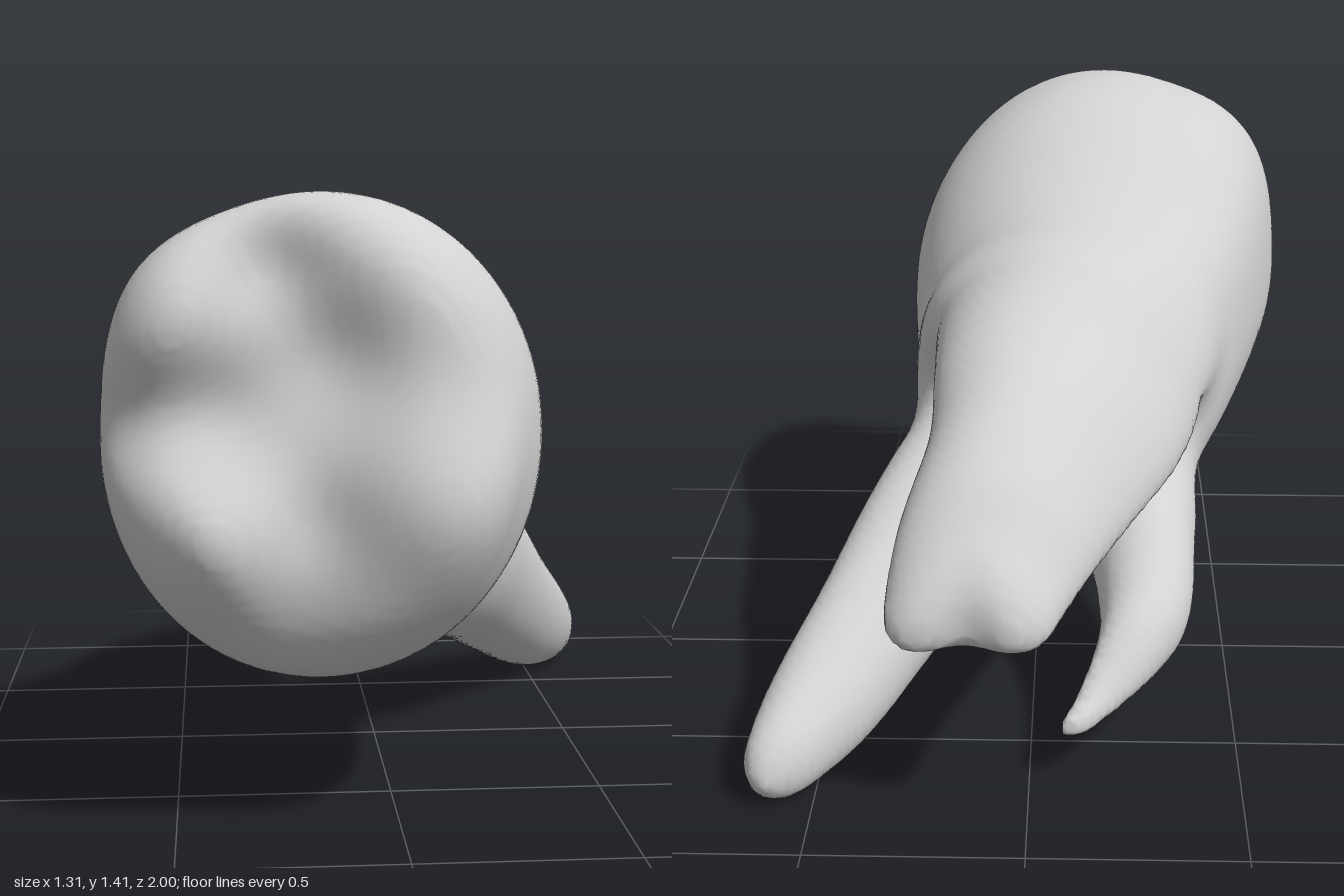
import * as THREE from 'three';

// Section rows along z: [z, centreX, centreY, radiusX, radiusY, tilt, bend]
const BODY = [
  [-0.3, -0.06, 0.72, 0.30, 0.38, 0, 0],
  [0.0, -0.07, 0.715, 0.375, 0.425, 0, 0],
  [0.2, -0.105, 0.767, 0.425, 0.437, 0, 0],
  [0.5, -0.14, 0.85, 0.483, 0.515, 0, 0],
  [0.7, -0.17, 0.873, 0.485, 0.537, 0, 0],
  [0.85, -0.18, 0.88, 0.435, 0.5, 0, 0],
  [1.0, -0.14, 0.87, 0.36, 0.43, 0, 0],
];
const UPPER_ROOT = [
  [-1.0, 0.135, 0.555, 0.17, 0.085, 0.0, 0.03],
  [-0.9, 0.11, 0.625, 0.195, 0.115, 0.01, 0.04],
  [-0.8, 0.07, 0.71, 0.215, 0.135, 0.03, 0.05],
  [-0.6, -0.01, 0.82, 0.24, 0.145, 0.07, 0.07],
  [-0.4, -0.06, 0.885, 0.29, 0.16, 0.09, 0.07],
  [-0.15, -0.085, 0.925, 0.325, 0.18, 0.08, 0.08],
  [0.05, -0.09, 0.92, 0.33, 0.19, 0.03, 0.04],
  [0.35, -0.1, 0.88, 0.1, 0.1, 0, 0],
];
const RIGHT_ROOT = [
  [-0.83, 0.605, 0.075, 0.05, 0.06, 0, 0],
  [-0.75, 0.57, 0.1, 0.09, 0.1, 0, 0],
  [-0.6, 0.492, 0.16, 0.133, 0.14, 0, 0],
  [-0.4, 0.378, 0.28, 0.153, 0.175, 0, 0],
  [-0.2, 0.268, 0.405, 0.173, 0.21, 0, 0],
  [0.0, 0.155, 0.5, 0.195, 0.22, 0, 0],
  [0.3, 0.05, 0.65, 0.1, 0.1, 0, 0],
];
const LEFT_ROOT = [
  [-0.7, -0.085, 0.142, 0.027, 0.027, 0, 0],
  [-0.62, -0.15, 0.17, 0.048, 0.042, 0, 0],
  [-0.5, -0.238, 0.25, 0.083, 0.09, 0, 0],
  [-0.38, -0.275, 0.295, 0.11, 0.125, 0, 0],
  [-0.2, -0.272, 0.37, 0.133, 0.16, 0, 0],
  [0.0, -0.235, 0.47, 0.17, 0.17, 0, 0],
  [0.3, -0.18, 0.65, 0.1, 0.1, 0, 0],
];
// Chewing-surface cusps and grooves: [x, y, height, spread]
const CUSPS = [
  [-0.52, 1.15, 0.07, 0.17], [-0.0, 1.17, 0.065, 0.2],
  [-0.43, 0.68, 0.13, 0.2], [0.07, 0.75, 0.165, 0.25], [-0.1, 0.5, 0.035, 0.16],
  [-0.16, 1.07, -0.055, 0.15], [-0.3, 1.27, -0.06, 0.13],
  [-0.4, 0.93, -0.05, 0.14], [-0.64, 0.92, -0.06, 0.13], [-0.19, 0.72, -0.025, 0.12],
];

const smin = (a, b, k) => {
  const h = Math.max(k - Math.abs(a - b), 0) / k;
  return Math.min(a, b) - h * h * k / 4;
};
const smax = (a, b, k) => -smin(-a, -b, k);

// Smooth interpolation between section rows
function sectionAt(rows, z) {
  const last = rows.length - 1;
  if (z <= rows[0][0]) return rows[0];
  if (z >= rows[last][0]) return rows[last];
  let i = 0;
  while (rows[i + 1][0] < z) i++;
  const a = rows[i], b = rows[i + 1], p = rows[Math.max(i - 1, 0)], q = rows[Math.min(i + 2, last)];
  const d = b[0] - a[0], t = (z - a[0]) / d;
  return a.map((v, n) => {
    const m0 = (b[n] - p[n]) / (b[0] - p[0]) * d, m1 = (q[n] - v) / (q[0] - a[0]) * d;
    const t2 = t * t, t3 = t2 * t;
    return (2 * t3 - 3 * t2 + 1) * v + (t3 - 2 * t2 + t) * m0 + (3 * t2 - 2 * t3) * b[n] + (t3 - t2) * m1;
  });
}

// Signed value of one section: negative inside
function sectionField(s, x, y, squareCorner) {
  const u = (x - s[1]) / s[3];
  const w = Math.max(-1.2, Math.min(1.2, u));
  const v = (y - s[2] - s[5] * w + s[6] * w * w) / s[4];
  const n = 2.05 + squareCorner * Math.max(0, -u) ** 3 * Math.max(0, v) / ((u * u + v * v) ** 2 + 1e-6);
  const r = Math.pow(Math.pow(Math.abs(u), n) + Math.pow(Math.abs(v), n), 1 / n);
  return (r - 1) * Math.min(s[3], s[4]);
}

// Whole tooth for one z slice: crown and three roots blended together
function sliceField(z) {
  const [body, upper, right, left] = [BODY, UPPER_ROOT, RIGHT_ROOT, LEFT_ROOT].map(r => sectionAt(r, z));
  return (x, y) => {
    let chew = 0.835;
    for (const [cx, cy, h, s] of CUSPS) chew += h * Math.exp(-((x - cx) ** 2 + (y - cy) ** 2) / (s * s));
    let f = smax(sectionField(body, x, y, 1.7), z - chew, 0.1);
    f = smax(f, -0.04 - z, 0.15);
    const notch = 0.04 * Math.exp(-(((x - 0.13) / 0.08) ** 2));
    const root = (s, end, k) => smax(smax(sectionField(s, x, y, 0), end - z, k), z - 0.3, 0.05);
    f = smin(f, root(upper, -1.015 + notch, 0.08), 0.09);
    f = smin(f, root(right, -0.84, 0.08), 0.08);
    return smin(f, root(left, -0.69, 0.02), 0.08);
  };
}

// Skin the blended form with a regular net of quads
function skin(min, max, step) {
  const n = min.map((m, i) => Math.ceil((max[i] - m) / step) + 1);
  const stride = [1, n[0], n[0] * n[1]];
  const val = new Float32Array(n[0] * n[1] * n[2]);
  for (let k = 0, p = 0; k < n[2]; k++) {
    const f = sliceField(min[2] + k * step);
    for (let j = 0; j < n[1]; j++)
      for (let i = 0; i < n[0]; i++) val[p++] = f(min[0] + i * step, min[1] + j * step);
  }
  const ids = new Int32Array(val.length).fill(-1), pos = [], index = [];
  const eachCell = (from, fn) => {
    for (let k = from; k < n[2] - 1; k++)
      for (let j = from; j < n[1] - 1; j++)
        for (let i = from; i < n[0] - 1; i++) fn([i, j, k], i + j * stride[1] + k * stride[2]);
  };
  // One point per crossed cell, at the mean of its edge crossings
  eachCell(0, (c, p) => {
    const sum = [0, 0, 0];
    let count = 0;
    for (let a = 0; a < 3; a++) {
      const b = (a + 1) % 3, d = (a + 2) % 3;
      for (let e = 0; e < 4; e++) {
        const ob = e & 1, od = e >> 1;
        const q = p + ob * stride[b] + od * stride[d];
        const v0 = val[q], v1 = val[q + stride[a]];
        if ((v0 < 0) === (v1 < 0)) continue;
        sum[a] += v0 / (v0 - v1);
        sum[b] += ob;
        sum[d] += od;
        count++;
      }
    }
    if (!count) return;
    ids[p] = pos.length / 3;
    for (let a = 0; a < 3; a++) pos.push(min[a] + (c[a] + sum[a] / count) * step);
  });
  // One quad around every crossed grid edge
  eachCell(1, (c, p) => {
    for (let a = 0; a < 3; a++) {
      const inside = val[p] < 0;
      if (inside === (val[p + stride[a]] < 0)) continue;
      const b = stride[(a + 1) % 3], d = stride[(a + 2) % 3];
      const [q0, q1, q2, q3] = [ids[p - b - d], ids[p - d], ids[p], ids[p - b]];
      if (inside) index.push(q0, q1, q2, q0, q2, q3);
      else index.push(q0, q2, q1, q0, q3, q2);
    }
  });
  const g = new THREE.BufferGeometry();
  g.setAttribute('position', new THREE.Float32BufferAttribute(pos, 3));
  g.setIndex(index);
  g.computeVertexNormals();
  return g;
}

export function createModel() {
  const group = new THREE.Group();
  group.name = 'molarTooth';
  const enamel = new THREE.MeshStandardMaterial({ color: 0xd2d2d2 });
  enamel.name = 'paleGreyEnamel';

  const tooth = new THREE.Mesh(skin([-0.8, -0.12, -1.1], [0.8, 1.55, 1.12], 0.018), enamel);
  tooth.name = 'crownAndRoots';
  group.add(tooth);
  return group;
}
